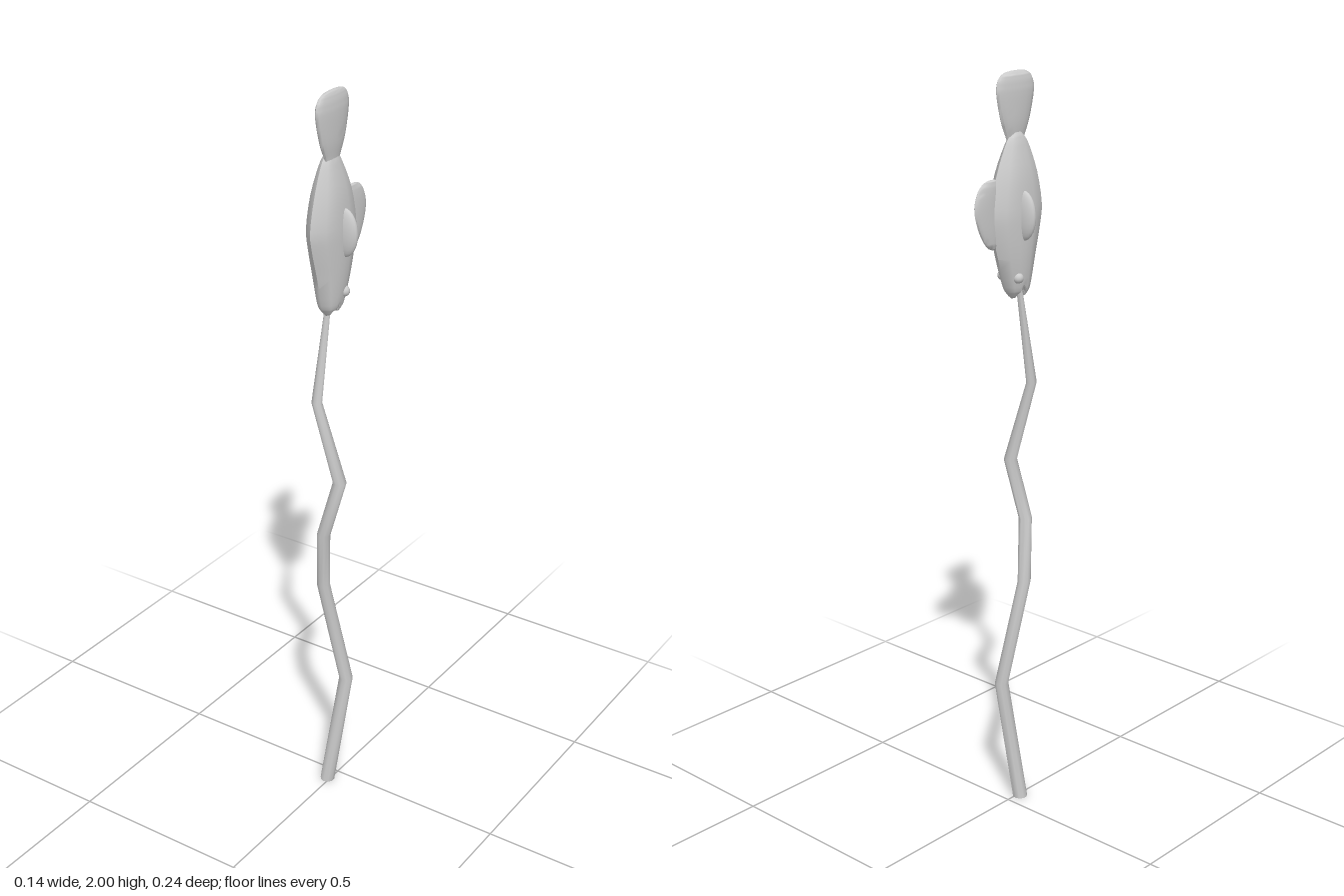
import * as THREE from 'three';
import { toCreasedNormals } from 'three/addons/utils/BufferGeometryUtils.js';

const material = new THREE.MeshStandardMaterial({ color: 0xcccccc, side: THREE.DoubleSide });

// Unit cross-sections as [x, z] corners, running from +z towards +x
const ellipse = n => Array.from({ length: n }, (_, i) => {
  const a = (i / n) * Math.PI * 2;
  return [Math.sin(a), Math.cos(a)];
});
const half = [[0, 1], [0.75, 0.72], [0.98, 0.3], [1, 0], [0.98, -0.3], [0.75, -0.72]];
const bodySection = [...half, ...half.map(([x, z]) => [-x, -z])];

// Resample rows of [y, front z, back z, half width] along a smooth curve
function smoothRows(rows, steps) {
  const edge = new THREE.CatmullRomCurve3(rows.map(r => new THREE.Vector3(r[0], r[1], r[2])), false, 'catmullrom');
  const width = new THREE.SplineCurve(rows.map(r => new THREE.Vector2(r[3], 0)));
  return Array.from({ length: steps + 1 }, (_, i) => {
    const p = edge.getPoint(i / steps);
    return [p.x, p.y, p.z, width.getPoint(i / steps).x];
  });
}

// Skin horizontal cross-sections from bottom to top and close both ends
function loft(rows, section, { x = 0, bend = p => p, crease = 0.9 } = {}) {
  const n = section.length, pos = [], index = [];
  const add = (px, py, pz) => pos.push(...bend([px, py, pz]));
  for (const [y, f, b, w, cx = x] of rows)
    for (const [sx, sz] of section) add(cx + sx * w, y, (f + b) / 2 + sz * (f - b) / 2);
  const last = rows.length - 1;
  for (const r of [rows[0], rows[last]]) add(r[4] ?? x, r[0], (r[1] + r[2]) / 2);
  const c0 = rows.length * n;
  for (let i = 0; i < n; i++) {
    const j = (i + 1) % n;
    for (let r = 0; r < last; r++) {
      const a = r * n + i, b = r * n + j;
      index.push(a, b, b + n, a, b + n, a + n);
    }
    index.push(c0, j, i, c0 + 1, last * n + i, last * n + j);
  }
  const g = new THREE.BufferGeometry();
  g.setAttribute('position', new THREE.Float32BufferAttribute(pos, 3));
  g.setIndex(index);
  return toCreasedNormals(g, crease);
}

export function createModel() {
  const group = new THREE.Group();
  const add = (name, geometry) => {
    const mesh = new THREE.Mesh(geometry, material);
    mesh.name = name;
    group.add(mesh);
    return mesh;
  };

  // Crooked tapering stick: [x, y, z, radius]
  const stick = [
    [-0.008, 0, 0.041, 0.02], [0.035, 0.345, 0.012, 0.019], [-0.013, 0.65, 0.05, 0.018],
    [0.005, 0.82, 0.074, 0.018], [0.046, 0.98, 0.06, 0.018], [-0.013, 1.2, 0.076, 0.014],
    [-0.003, 1.48, 0.034, 0.007],
  ];
  add('stick', loft(stick.map(([x, y, z, r]) => [y, z + r, z - r, r, x]), ellipse(10)));

  // Fish body, head down, with a wedge-shaped mouth cut into the lower end
  const body = [
    [1.432, 0.053, 0.012, 0.014], [1.445, 0.064, 0.0, 0.021], [1.465, 0.073, -0.011, 0.028],
    [1.54, 0.09, -0.037, 0.036], [1.615, 0.111, -0.058, 0.039], [1.67, 0.119, -0.062, 0.039],
    [1.75, 0.101, -0.043, 0.033], [1.82, 0.073, -0.011, 0.018], [1.845, 0.053, 0.008, 0.01],
    [1.857, 0.038, 0.024, 0.002],
  ];
  const mouth = ([x, y, z]) => [x, Math.max(y, 1.475 - Math.abs(z - 0.0325) * 2.6), z];
  add('body', loft(smoothRows(body, 27), bodySection, { bend: mouth, crease: 1.1 }));

  // Fanned tail fin
  const tail = [
    [1.8, 0.052, 0.012, 0.006], [1.835, 0.062, 0.0, 0.009], [1.88, 0.082, -0.02, 0.014],
    [1.95, 0.1, -0.037, 0.015], [1.982, 0.092, -0.031, 0.011], [1.996, 0.072, -0.012, 0.006],
    [2.0, 0.05, 0.012, 0.002],
  ];
  add('tailFin', loft(smoothRows(tail, 24), ellipse(16), { x: 0.005, crease: 1.5 }));

  // Rounded fin on the back
  const dorsal = [
    [1.568, -0.045, -0.058, 0.002], [1.578, -0.035, -0.077, 0.005], [1.615, -0.03, -0.103, 0.008],
    [1.67, -0.03, -0.121, 0.009], [1.71, -0.03, -0.113, 0.008], [1.735, -0.033, -0.093, 0.005],
    [1.743, -0.045, -0.07, 0.002],
  ];
  add('dorsalFin', loft(smoothRows(dorsal, 24), ellipse(16), { x: 0.002, crease: 1.5 }));

  // Side fins and eyes
  for (const [side, s] of [['left', 1], ['right', -1]]) {
    const fin = add(side + 'SideFin', new THREE.SphereGeometry(1, 20, 14));
    fin.scale.set(0.039, 0.063, 0.016);
    fin.position.set(s * 0.033, 1.648, 0.021);
    const eye = add(side + 'Eye', new THREE.SphereGeometry(0.014, 14, 10));
    eye.position.set(s * 0.026, 1.49, 0.009);
  }
  return group;
}
